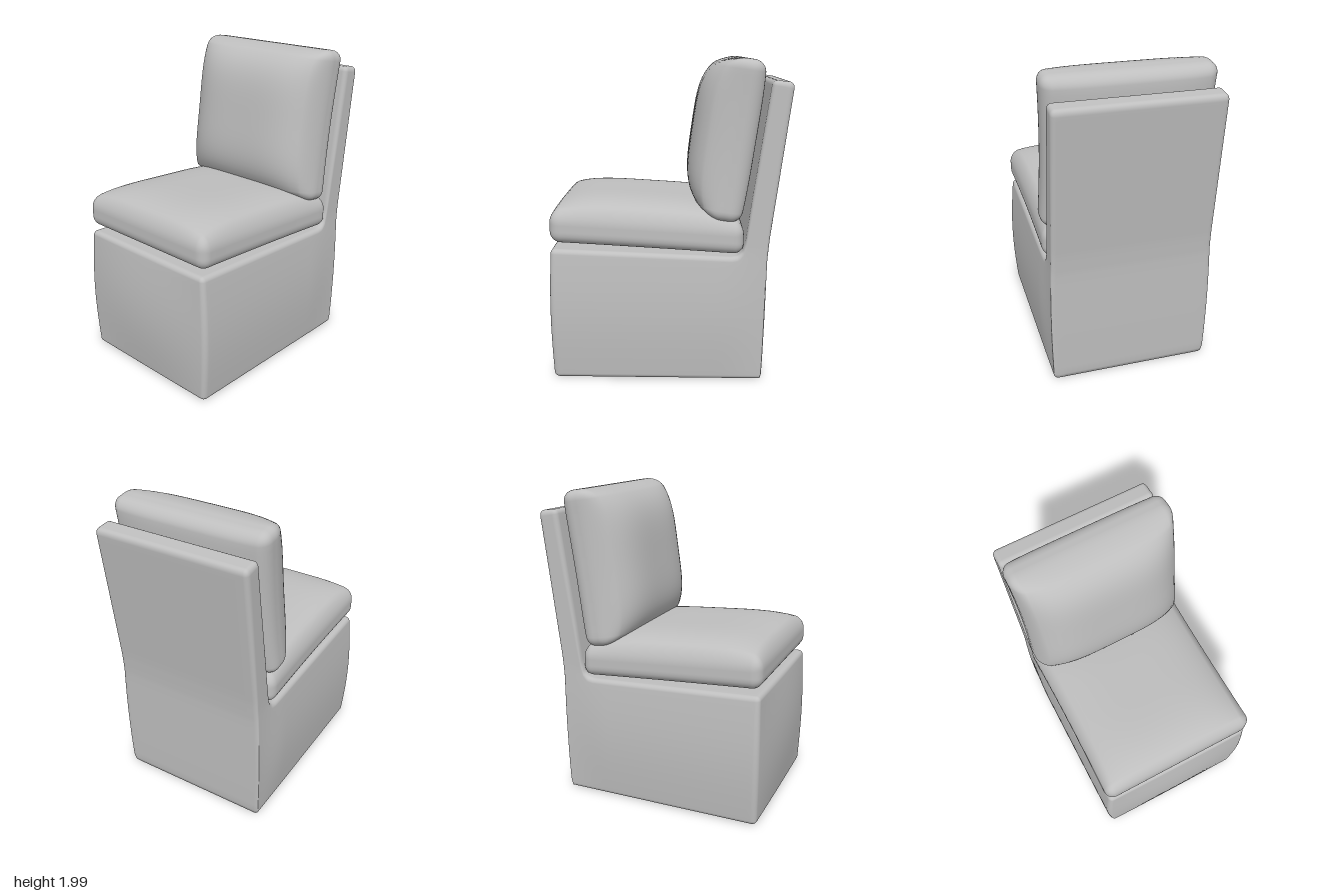
import * as THREE from 'three';
import { mergeVertices } from 'three/addons/utils/BufferGeometryUtils.js';

// Box with finely divided faces and rounded edges, then reshaped by warp(p)
function softBox([w, h, d], r, [nx, ny, nz], warp) {
  const geo = new THREE.BoxGeometry(2, 2, 2, nx, ny, nz);
  geo.deleteAttribute('uv');
  geo.deleteAttribute('normal');
  const pos = geo.attributes.position;
  const k = 4; // divisions spent on each rounded edge
  const spread = (c, half, n) => {
    const i = Math.round(((c + 1) / 2) * n);
    if (i <= k) return -half + (r * i) / k;
    if (i >= n - k) return half - (r * (n - i)) / k;
    return -half + r + ((2 * half - 2 * r) * (i - k)) / (n - 2 * k);
  };
  const p = new THREE.Vector3();
  const core = new THREE.Vector3();
  const lim = new THREE.Vector3(w / 2 - r, h / 2 - r, d / 2 - r);
  const min = lim.clone().negate();
  for (let i = 0; i < pos.count; i++) {
    p.set(spread(pos.getX(i), w / 2, nx), spread(pos.getY(i), h / 2, ny), spread(pos.getZ(i), d / 2, nz));
    core.copy(p).clamp(min, lim);
    p.sub(core);
    if (p.lengthSq() > 1e-12) p.setLength(r);
    p.add(core);
    warp(p);
    pos.setXYZ(i, p.x, p.y, p.z);
  }
  const merged = mergeVertices(geo, 1e-5);
  merged.computeVertexNormals();
  return merged;
}

// Pillow swelling: 1 in the middle, 0 at the rim
const swell = (u, v) => Math.pow(Math.max(0, (1 - u ** 4) * (1 - v ** 4)), 0.7);

// Side profile of the frame: [distance, inner z, inner y, outer z, outer y]
const PROFILE = [
  [0, 0.71, 0.845, 0.71, 0.0],
  [1.08, -0.4, 0.803, -0.56, 0.0],
  [1.14, -0.44, 0.81, -0.6, 0.0],
  [1.2, -0.468, 0.84, -0.605, 0.12],
  [1.28, -0.485, 0.9, -0.612, 0.4],
  [1.42, -0.502, 1.03, -0.62, 0.78],
  [1.52, -0.515, 1.13, -0.632, 0.92],
  [2.26, -0.622, 1.87, -0.752, 1.855],
];

function profileAt(s) {
  let i = 0;
  while (i < PROFILE.length - 2 && s > PROFILE[i + 1][0]) i++;
  const a = PROFILE[i], b = PROFILE[i + 1];
  const f = (s - a[0]) / (b[0] - a[0]);
  return a.map((v, j) => v + (b[j] - v) * f);
}

// Base and backrest as one bent slab
function frameGeometry() {
  const r = 0.03, length = 2.26;
  return softBox([1.02, 1, length], r, [28, 28, 100], (p) => {
    const s = length / 2 - p.z;
    const [, iz, iy, oz, oy] = profileAt(s);
    const thick = Math.hypot(iz - oz, iy - oy);
    // keep the edge radius true while the thickness changes
    const e = 0.5 - Math.abs(p.y);
    const q = e < r ? e / thick : r / thick + ((e - r) / (0.5 - r)) * (0.5 - r / thick);
    const t = p.y < 0 ? q : 1 - q;
    const u = p.x / 0.51;
    p.y = oy + (iy - oy) * t;
    p.z = oz + (iz - oz) * t;
    // upholstery bulge on the sides and front of the base
    const b = p.y < 0.85 ? Math.sin((Math.PI * Math.max(0, p.y)) / 0.85) : 0;
    const front = THREE.MathUtils.smoothstep(p.z, 0.3, 0.71);
    const away = THREE.MathUtils.smoothstep(p.z, -0.62, -0.3);
    p.x *= 1 + 0.05 * b * (0.35 + 0.65 * away);
    p.z += 0.037 * b * front * (1 - 0.8 * u * u);
  });
}

function seatCushionGeometry() {
  const w = 1.05, h = 0.19, d = 1.19;
  return softBox([w, h, d], 0.065, [32, 14, 32], (p) => {
    const u = p.x / (w / 2), v = p.z / (d / 2);
    if (p.y > 0) p.y += 0.1 * swell(u, v) * (p.y / (h / 2));
    p.x *= 1 - 0.015 * (1 - v * v);
    p.y += 0.945 + 0.035 * v;
    p.z += 0.12;
  });
}

function backCushionGeometry() {
  const w = 1.05, h = 0.98, d = 0.18;
  return softBox([w, h, d], 0.065, [32, 32, 14], (p) => {
    const u = p.x / (w / 2), v = p.y / (h / 2);
    p.z += swell(u, v) * (p.z / (d / 2)) * (p.z > 0 ? 0.185 : 0.035);
    // sides pinch in between the corners
    p.x *= 1 - 0.028 * (1 - v * v);
  });
}

export function createModel() {
  const group = new THREE.Group();
  group.name = 'chair';
  const fabric = new THREE.MeshStandardMaterial({ color: 0xbfbfbf });
  fabric.name = 'grey fabric';

  const add = (name, geo) => {
    const mesh = new THREE.Mesh(geo, fabric);
    mesh.name = name;
    group.add(mesh);
    return mesh;
  };

  add('frame', frameGeometry());
  add('seatCushion', seatCushionGeometry());

  // Back cushion leans against the backrest
  const back = add('backCushion', backCushionGeometry());
  back.position.set(0, 1.505, -0.425);
  back.rotation.x = -0.14;

  return group;
}
